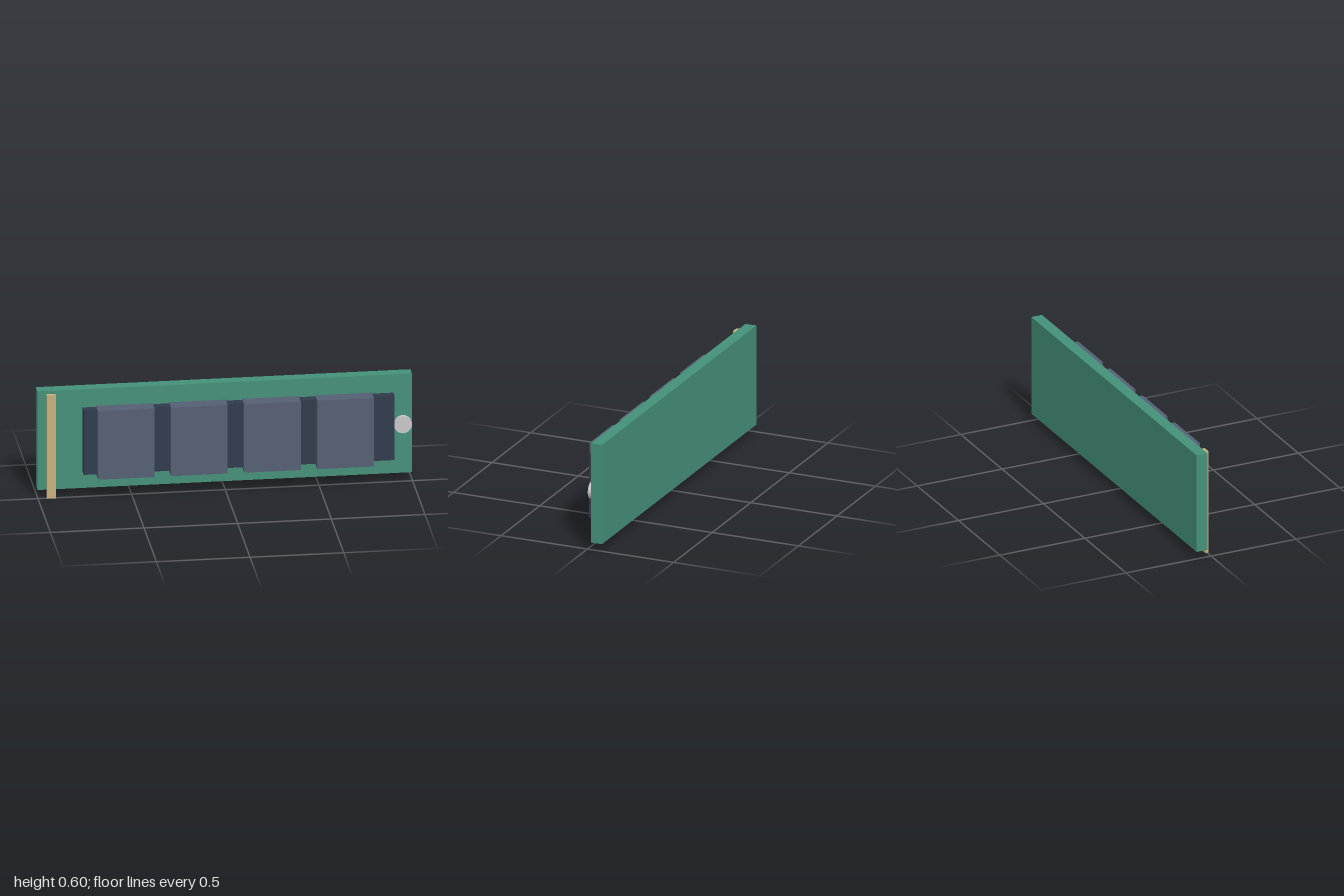
import * as THREE from 'three';

const mat = (name, color) => {
  const m = new THREE.MeshStandardMaterial({ color });
  m.name = name;
  return m;
};

export function createModel() {
  const model = new THREE.Group();
  model.name = 'circuitModule';

  const green = mat('board green', 0x45907a);
  const slate = mat('chip slate', 0x556074);
  const dark = mat('carrier dark slate', 0x303a4c);
  const gold = mat('contact gold', 0xc6b07c);
  const silver = mat('screw silver', 0xc8c8c8);

  // Box given by its minimum and maximum corners
  const box = (name, material, [x0, y0, z0], [x1, y1, z1]) => {
    const mesh = new THREE.Mesh(new THREE.BoxGeometry(x1 - x0, y1 - y0, z1 - z0), material);
    mesh.position.set((x0 + x1) / 2, (y0 + y1) / 2, (z0 + z1) / 2);
    mesh.name = name;
    model.add(mesh);
  };

  // Circuit board and the dark carrier strip in front of it
  box('board', green, [-1, 0.04, -0.085], [1, 0.6, -0.022]);
  box('carrierStrip', dark, [-0.76, 0.136, -0.013], [0.9, 0.5, 0.036]);

  // Four memory chips
  for (let i = 0; i < 4; i++) {
    const x = -0.69 + i * 0.39;
    box(`chip${i + 1}`, slate, [x, 0.124, 0.005], [x + 0.302, 0.513, 0.085]);
  }

  // Edge contact strip, reaching below the board
  box('contactStrip', gold, [-0.953, 0, -0.011], [-0.905, 0.586, 0.009]);

  // Mounting screw head
  const screw = new THREE.Mesh(new THREE.CylinderGeometry(0.048, 0.048, 0.026, 24), silver);
  screw.rotation.x = Math.PI / 2;
  screw.position.set(0.95, 0.319, -0.014);
  screw.name = 'mountingScrew';
  model.add(screw);

  return model;
}
